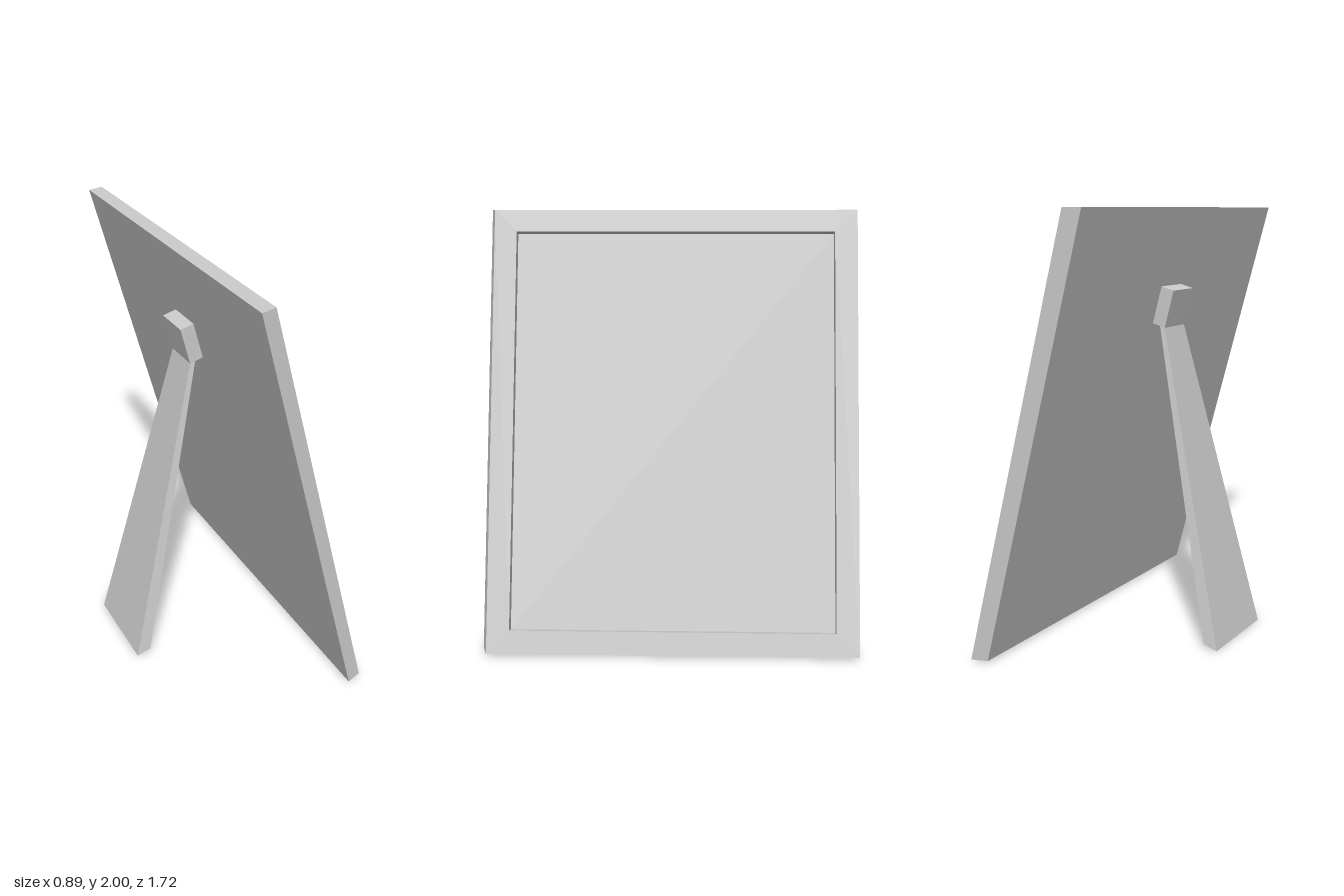
import * as THREE from 'three';

const material = new THREE.MeshStandardMaterial({ color: 0xcccccc, flatShading: true });

// Skin a series of four-cornered rings and cap both ends.
// Corners run counter-clockwise as seen from the last ring's side.
function loft(name, rings) {
  const pos = [];
  const quad = (a, b, c, d) => pos.push(...a, ...b, ...c, ...a, ...c, ...d);
  for (let r = 0; r < rings.length - 1; r++) {
    const a = rings[r], b = rings[r + 1];
    for (let i = 0; i < 4; i++) {
      const j = (i + 1) % 4;
      quad(a[i], a[j], b[j], b[i]);
    }
  }
  const first = rings[0], last = rings[rings.length - 1];
  quad(first[3], first[2], first[1], first[0]);
  quad(...last);
  const geometry = new THREE.BufferGeometry();
  geometry.setAttribute('position', new THREE.Float32BufferAttribute(pos, 3));
  geometry.computeVertexNormals();
  const mesh = new THREE.Mesh(geometry, material);
  mesh.name = name;
  return mesh;
}

// Rectangle on the leaning front plane, moved by an offset
function leaningRing(y0, y1, z0, z1, [dx, dy, dz]) {
  const frontX = (y) => 0.445 - 0.273 * (y - 0.01);
  return [[y0, z1], [y0, z0], [y1, z0], [y1, z1]]
    .map(([y, z]) => [frontX(y) + dx, y + dy, z + dz]);
}

// Cross-section of the stand: back edge, front edge, and z range
function standRing([xb, yb], [xf, yf], z0, z1) {
  return [[xb, yb, z1], [xf, yf, z1], [xf, yf, z0], [xb, yb, z0]];
}

export function createModel() {
  const group = new THREE.Group();
  group.name = 'pictureFrame';

  // Leaning panel with a raised rim and a recessed picture area
  const outer = [0.01, 2, -0.863, 0.837];
  const inner = [0.112, 1.9, -0.758, 0.733];
  group.add(loft('frame', [
    leaningRing(...outer, [-0.075, 0, 0.025]),
    leaningRing(...outer, [0, 0, 0]),
    leaningRing(...inner, [0, 0, 0]),
    leaningRing(...inner, [-0.045, -0.012, 0]),
  ]));

  // Hinge block on the back of the panel
  group.add(loft('hingeBlock', [
    standRing([-0.094, 1.457], [-0.031, 1.475], -0.07, 0.11),
    standRing([-0.14, 1.629], [-0.077, 1.646], -0.07, 0.11),
  ]));

  // Flared leg
  group.add(loft('supportLeg', [
    standRing([-0.45, 0], [-0.382, 0.02], -0.2, 0.24),
    standRing([-0.094, 1.457], [-0.069, 1.464], -0.07, 0.11),
  ]));

  return group;
}
